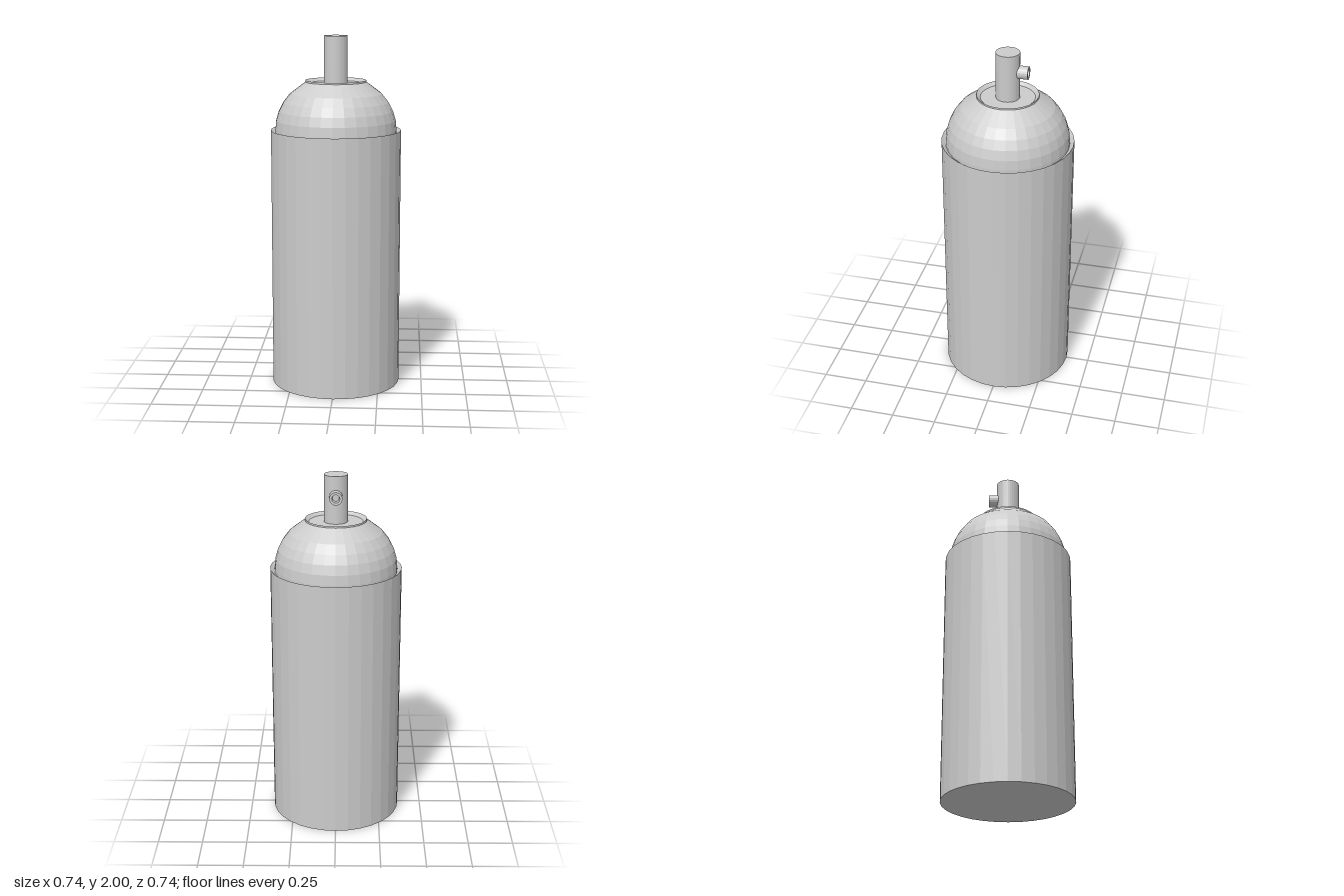
import * as THREE from 'three';

const material = new THREE.MeshStandardMaterial({ color: 0xcccccc, flatShading: true });

// Faceted solid of revolution from [radius, height] pairs
function turned(name, profile, sides) {
  const points = profile.map(([r, y]) => new THREE.Vector2(r, y));
  const mesh = new THREE.Mesh(new THREE.LatheGeometry(points, sides), material);
  mesh.name = name;
  return mesh;
}

export function createModel() {
  const model = new THREE.Group();
  model.name = 'sprayCan';

  // Cylindrical can with a rim that slopes inward to the shoulder
  model.add(turned('canBody', [[0, 0], [0.368, 0], [0.368, 1.472], [0.343, 1.452]], 32));

  // Domed shoulder, following an ellipse, with a shallow dished top
  const dome = [[0.343, 1.452]];
  for (const degrees of [0, 10, 20, 30, 41, 60]) {
    const a = THREE.MathUtils.degToRad(degrees);
    dome.push([0.343 * Math.cos(a), 1.472 + 0.312 * Math.sin(a)]);
  }
  dome.push([0.171, 1.752], [0.15, 1.735], [0, 1.735]);
  model.add(turned('shoulder', dome, 32));

  // Push-down valve stem
  model.add(turned('valveStem', [[0.066, 1.735], [0.066, 2], [0, 2]], 32));

  // Small hollow nozzle pointing backward
  const nozzle = turned('nozzle',
    [[0.036, 0.04], [0.036, 0.115], [0.022, 0.115], [0.018, 0.095], [0, 0.095]], 20);
  nozzle.rotation.x = -Math.PI / 2;
  nozzle.position.y = 1.889;
  model.add(nozzle);

  return model;
}
